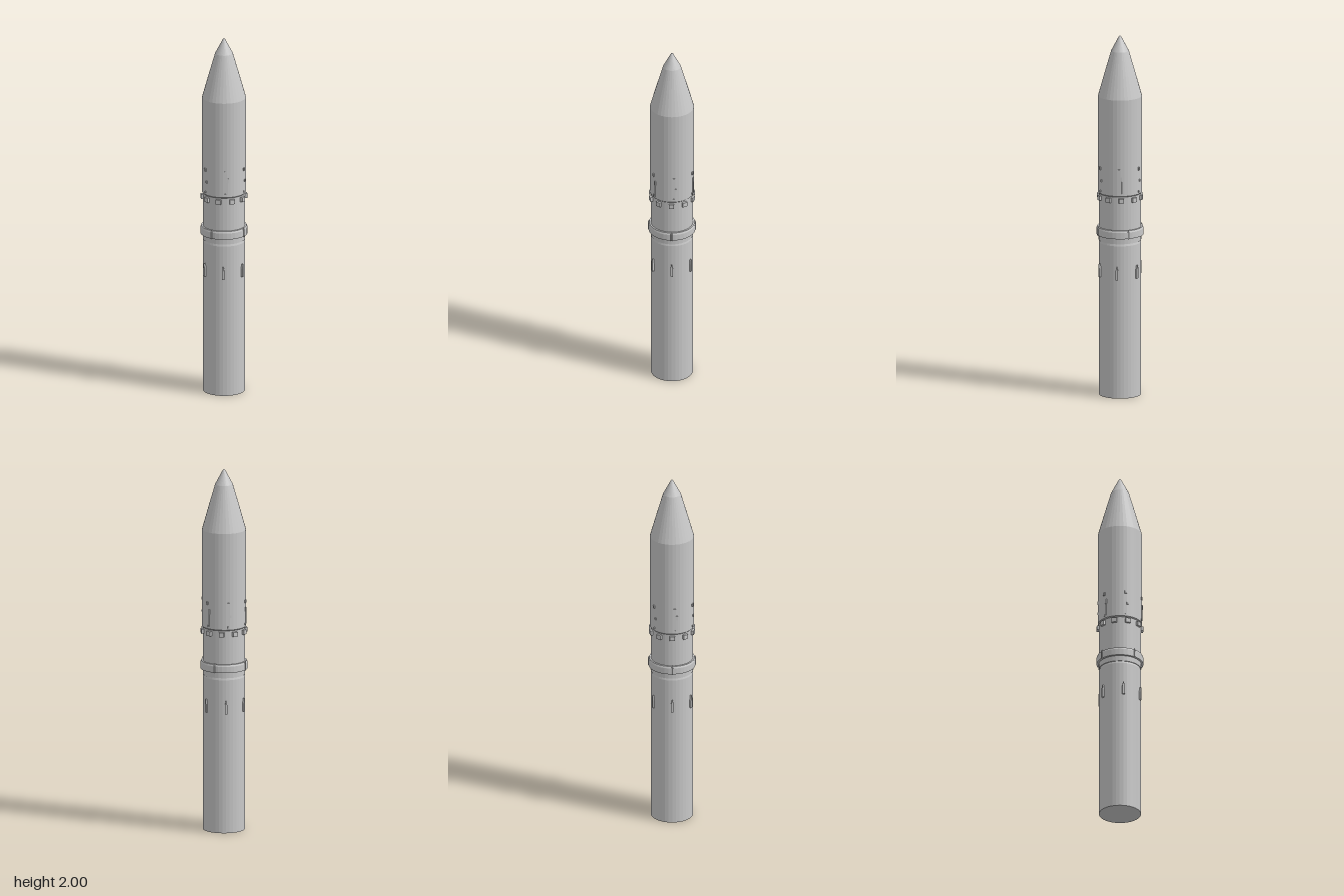
import * as THREE from 'three';

const hull = new THREE.MeshStandardMaterial({ color: 0xc8c8c8 });
hull.name = 'hullGrey';
hull.flatShading = true;

export function createModel() {
  const model = new THREE.Group();
  model.name = 'rocket';

  const add = (name, geometry, parent = model) => {
    const mesh = new THREE.Mesh(geometry, hull);
    mesh.name = name;
    parent.add(mesh);
    return mesh;
  };
  const lathe = (name, points) =>
    add(name, new THREE.LatheGeometry(points.map(([r, y]) => new THREE.Vector2(r, y)), 36));

  // Repeats a detail around the hull; its local +z points outward
  const around = (name, count, offset, build) => {
    for (let i = 0; i < count; i++) {
      const holder = new THREE.Group();
      holder.name = name;
      holder.rotation.y = Math.PI / 2 - (offset * Math.PI / 180 + i * Math.PI * 2 / count);
      build(holder, i);
      model.add(holder);
    }
  };
  const box = (name, parent, w, h, d, x, y, z) =>
    add(name, new THREE.BoxGeometry(w, h, d), parent).position.set(x, y, z);

  // Main stages
  lathe('lowerStage', [[0, 0], [0.114, 0], [0.114, 0.85], [0.111, 0.862], [0, 0.862]]);
  lathe('interstage', [[0, 0.862], [0.115, 0.862], [0.115, 0.895], [0.114, 0.94],
    [0.114, 1.125], [0.119, 1.13], [0.119, 1.14]]);
  lathe('upperStage', [[0.119, 1.14], [0.119, 1.665]]);
  lathe('noseCone', [[0.119, 1.665], [0.084, 1.79], [0.048, 1.915], [0.006, 1.995], [0, 2]]);

  // Raised collar with a thin lip
  lathe('collar', [[0.112, 0.893], [0.127, 0.893], [0.127, 0.928], [0.123, 0.938], [0.112, 0.938]]);

  // Four little pods on the collar
  around('collarPod', 4, 0, (g) => {
    add('podBody', new THREE.CylinderGeometry(0.005, 0.005, 0.04, 8), g).position.set(0, 0.912, 0.126);
    add('podTip', new THREE.ConeGeometry(0.005, 0.014, 8), g).position.set(0, 0.939, 0.126);
  });

  // Six pointed fairings on the lower stage
  const outline = new THREE.Shape();
  [[-0.007, 0], [0.007, 0], [0.007, 0.045], [0.002, 0.072], [-0.002, 0.072], [-0.007, 0.045]]
    .forEach(([x, y], i) => (i ? outline.lineTo(x, y) : outline.moveTo(x, y)));
  const fairing = new THREE.ExtrudeGeometry(outline, { depth: 0.014, bevelEnabled: false });
  around('fairing', 6, 0, (g) => add('fairingBody', fairing, g).position.set(0, 0.663, 0.109));

  // Ring of blocks below the upper stage
  around('separationBlock', 10, 0, (g) => box('block', g, 0.028, 0.025, 0.014, 0, 1.104, 0.119));

  // Small fittings on the upper stage
  around('fitting', 6, -6, (g, i) => {
    box('sensor', g, 0.012, 0.016, 0.008, 0, 1.272, 0.121);
    box('bracket', g, 0.008, 0.01, 0.006, 0, 1.145, 0.12);
    if (i % 2) {
      box('conduit', g, 0.005, 0.09, 0.006, 0.012, 1.19, 0.119);
      box('conduitBox', g, 0.01, 0.025, 0.008, 0.012, 1.225, 0.119);
    } else {
      box('plate', g, 0.01, 0.012, 0.006, 0.01, 1.205, 0.12);
    }
  });

  return model;
}
